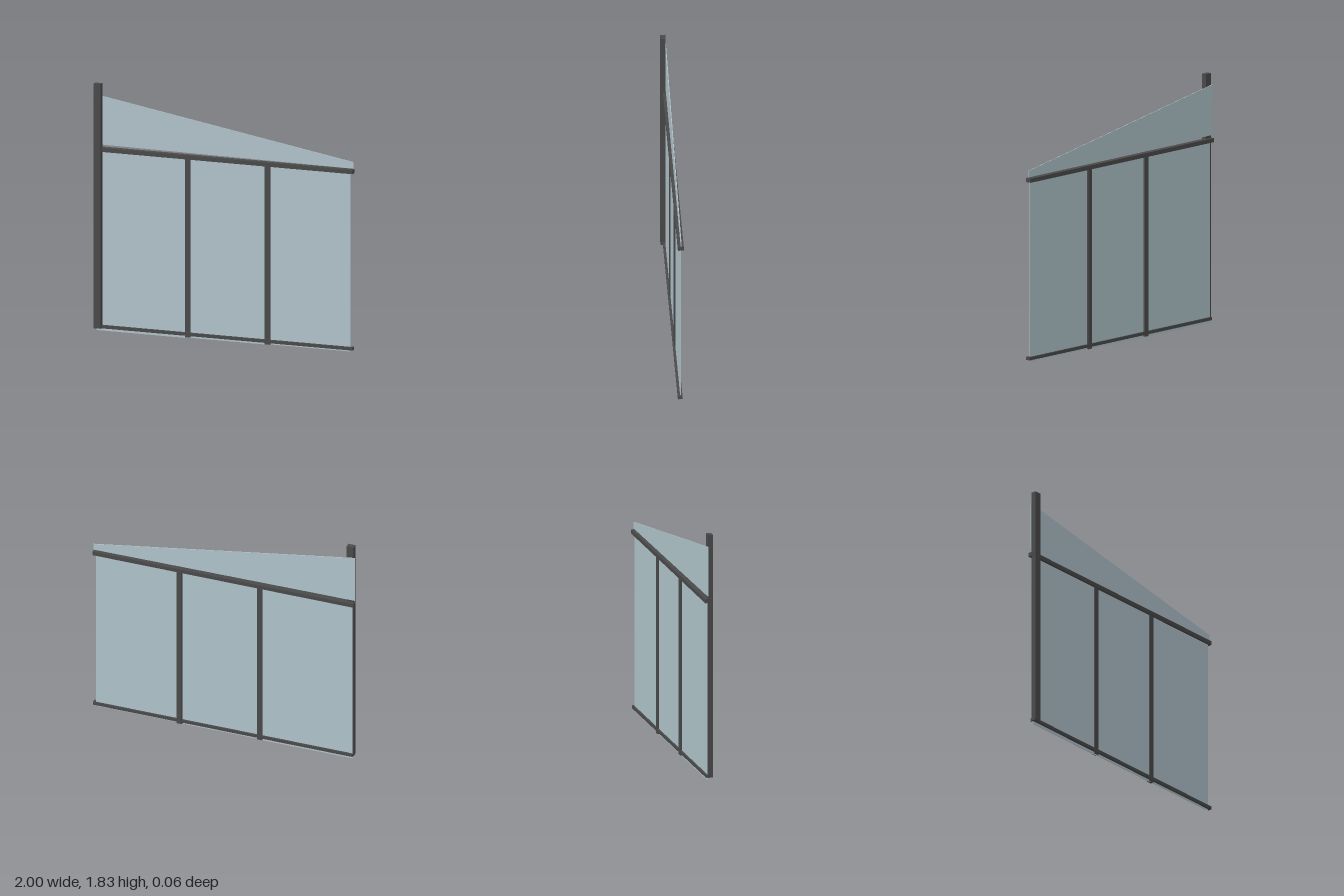
import * as THREE from 'three';

export function createModel() {
  const model = new THREE.Group();
  const frame = new THREE.MeshStandardMaterial({ color: 0x4a4a4a });
  const glass = new THREE.MeshStandardMaterial({ color: 0xb0c4cb });

  // Box given by its limits on each axis
  function bar(name, material, [x0, x1], [y0, y1], [z0, z1]) {
    const mesh = new THREE.Mesh(new THREE.BoxGeometry(x1 - x0, y1 - y0, z1 - z0), material);
    mesh.position.set((x0 + x1) / 2, (y0 + y1) / 2, (z0 + z1) / 2);
    mesh.name = name;
    model.add(mesh);
  }

  // Tall end post, standing in front of the glazing
  bar('endPost', frame, [-0.99, -0.935], [0.02, 1.83], [-0.007, 0.03]);

  // Horizontal rails
  bar('topRail', frame, [-0.997, 1], [1.325, 1.355], [-0.03, 0.013]);
  bar('bottomRail', frame, [-0.985, 1], [0.02, 0.043], [-0.021, 0.013]);

  // Mullions between the panes
  const mullions = [-0.275, 0.34];
  for (const x of mullions) {
    bar('mullion', frame, [x - 0.02, x + 0.02], [0.007, 1.325], [-0.022, 0.005]);
  }

  // Three lower panes
  const edges = [-0.98, ...mullions, 0.98];
  for (let i = 0; i < 3; i++) {
    bar('lowerPane', glass, [edges[i], edges[i + 1]], [i * 0.004, 1.326], [-0.009, -0.004]);
  }

  // Sloping pane above the top rail
  const outline = new THREE.Shape([
    new THREE.Vector2(-1, 1.375),
    new THREE.Vector2(1, 1.362),
    new THREE.Vector2(1, 1.41),
    new THREE.Vector2(-1, 1.745),
  ]);
  const upper = new THREE.Mesh(
    new THREE.ExtrudeGeometry(outline, { depth: 0.005, bevelEnabled: false }), glass);
  upper.position.z = -0.012;
  upper.name = 'slopingUpperPane';
  model.add(upper);

  return model;
}
